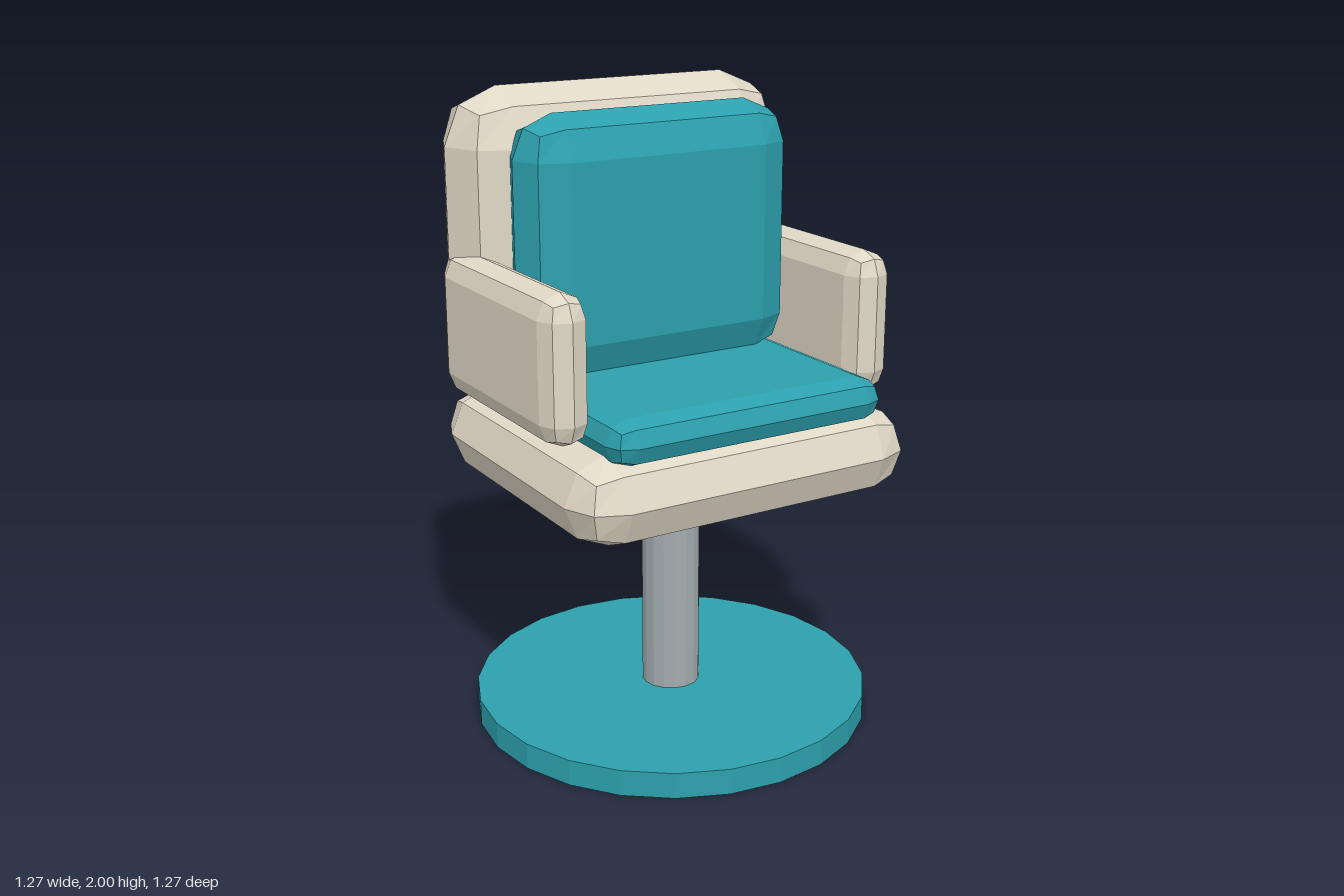
import * as THREE from 'three';
import { RoundedBoxGeometry } from 'three/addons/geometries/RoundedBoxGeometry.js';

const material = (color) => new THREE.MeshStandardMaterial({ color, flatShading: true });

export function createModel() {
  const group = new THREE.Group();
  const teal = material(0x2ca0ad);
  const cream = material(0xe0d8c6);
  const steel = material(0xa3acaf);

  const add = (name, geometry, mat) => {
    const mesh = new THREE.Mesh(geometry, mat);
    mesh.name = name;
    group.add(mesh);
    return mesh;
  };

  // A faceted pad filling the given x, y and z ranges, rounded over half its thinnest side
  const pad = (name, [x0, x1], [y0, y1], [z0, z1], mat) => {
    const size = [x1 - x0, y1 - y0, z1 - z0];
    const mesh = add(name, new RoundedBoxGeometry(...size, 1, Math.min(...size) / 2), mat);
    mesh.position.set((x0 + x1) / 2, (y0 + y1) / 2, (z0 + z1) / 2);
  };

  // A faceted upright cylinder between two heights
  const column = (name, radius, y0, y1, sides, mat) => {
    const mesh = add(name, new THREE.CylinderGeometry(radius, radius, y1 - y0, sides), mat);
    mesh.position.y = (y0 + y1) / 2;
  };

  // Pedestal
  column('base', 0.635, 0, 0.083, 24, teal);
  column('post', 0.093, 0.08, 0.82, 16, steel);

  // Shell
  pad('seat', [-0.58, 0.58], [0.775, 1.055], [-0.52, 0.52], cream);
  pad('backrest', [-0.575, 0.575], [1.05, 2], [-0.53, -0.185], cream);
  pad('leftArmrest', [0.452, 0.6], [1.06, 1.51], [-0.41, 0.35], cream);
  pad('rightArmrest', [-0.6, -0.452], [1.06, 1.51], [-0.41, 0.35], cream);

  // Cushions
  pad('seatCushion', [-0.47, 0.47], [1.02, 1.162], [-0.39, 0.492], teal);
  pad('backCushion', [-0.468, 0.468], [1.125, 1.94], [-0.25, 0.01], teal);

  return group;
}
